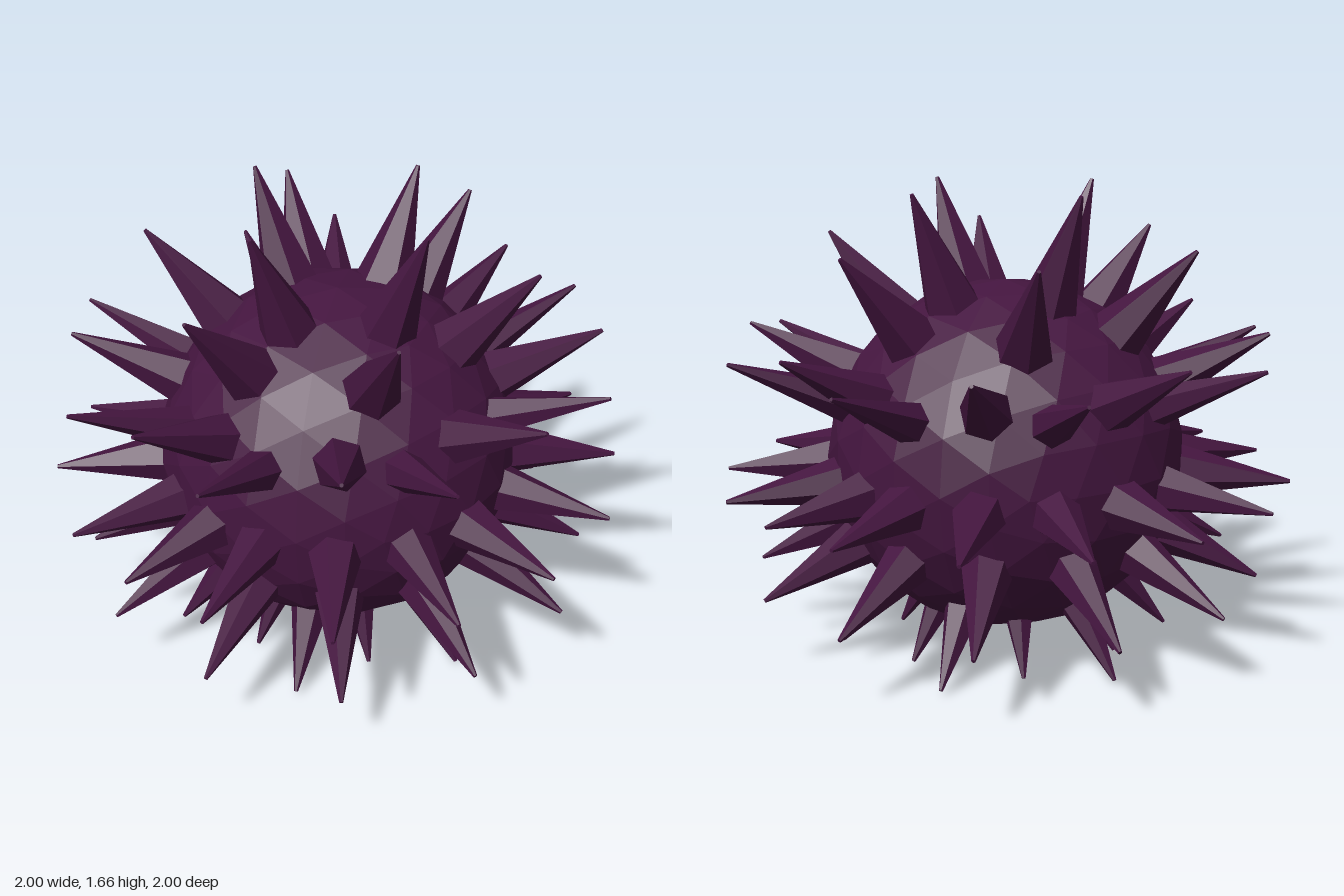
import * as THREE from 'three';

const CENTER = new THREE.Vector3(0, 0.72, 0);
const BODY_R = 0.63;

export function createModel() {
  const group = new THREE.Group();
  group.name = 'spinyUrchin';
  const material = new THREE.MeshStandardMaterial({ color: 0x451640, flatShading: true });

  // faceted, nearly round body
  const body = new THREE.Mesh(new THREE.IcosahedronGeometry(0.638, 3), material);
  body.name = 'body';
  body.position.copy(CENTER);
  body.scale.y = 0.98;
  group.add(body);

  // one six-sided spine growing radially out of the body to its tip
  const up = new THREE.Vector3(0, 1, 0);
  function addSpine(parent, x, y, z, radius) {
    const dir = new THREE.Vector3(x, y, z).sub(CENTER);
    const start = BODY_R - 0.05;
    const length = dir.length() - start;
    dir.normalize();
    const geometry = new THREE.CylinderGeometry(0.007, radius, length, 6);
    geometry.translate(0, start + length / 2, 0);
    const spine = new THREE.Mesh(geometry, material);
    spine.name = 'spine';
    spine.position.copy(CENTER);
    spine.quaternion.setFromUnitVectors(up, dir);
    parent.add(spine);
  }

  // evenly spaced rings: name, count, tip radius, tip height, base radius, start angle from +x (degrees)
  const rings = [
    ['crownSpines', 4, 0.4, 1.67, 0.11, 0],
    ['shoulderSpines', 6, 0.69, 1.48, 0.11, 30],
    ['upperSpines', 8, 0.925, 1.17, 0.1, 0],
    ['lowerSpines', 12, 0.91, 0.28, 0.095, 15],
    ['footSpines', 6, 0.6, 0.03, 0.075, 0],
    ['innerFootSpines', 6, 0.42, 0.015, 0.055, 30],
  ];
  for (const [name, count, r, y, base, offset] of rings) {
    const ring = new THREE.Group();
    ring.name = name;
    for (let i = 0; i < count; i++) {
      const a = THREE.MathUtils.degToRad(offset + (360 * i) / count);
      addSpine(ring, r * Math.cos(a), y, r * Math.sin(a), base);
    }
    group.add(ring);
  }

  // spines mirrored into the four quadrants: x, y, z of the tip, base radius
  const mirrored = new THREE.Group();
  mirrored.name = 'sideSpines';
  const tips = [
    [0.33, 0.63, 0.96, 0.095], [0.7, 0.63, 0.74, 0.1], [0.93, 0.63, 0.4, 0.095],
    [0.89, 1.11, 0.39, 0.08], [0.32, 1.11, 0.94, 0.08],
  ];
  for (const [x, y, z, base] of tips)
    for (const sx of [1, -1])
      for (const sz of [1, -1]) addSpine(mirrored, sx * x, y, sz * z, base);
  group.add(mirrored);

  // four longest spines along the axes at the waist
  const waist = new THREE.Group();
  waist.name = 'waistSpines';
  for (const s of [1, -1]) {
    addSpine(waist, s, 0.63, 0, 0.1);
    addSpine(waist, 0, 0.63, s, 0.1);
  }
  group.add(waist);

  return group;
}
